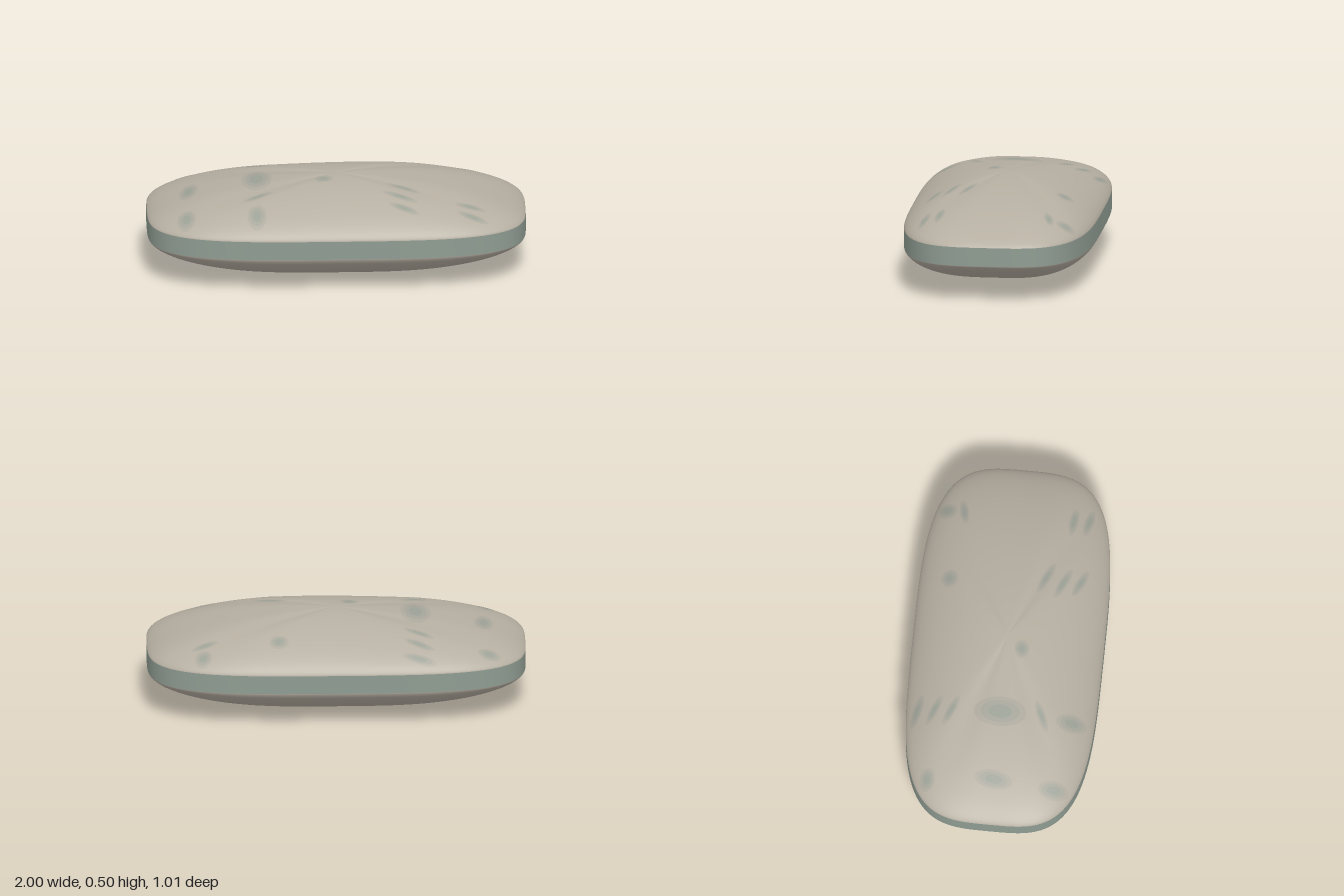
import * as THREE from 'three';
import { mergeVertices } from 'three/addons/utils/BufferGeometryUtils.js';

const N = 3.5, HALF_X = 1, HALF_Z = 0.506, RIM_LOW = 0.2, RIM_HIGH = 0.3, DOME = 0.205;
const smooth = (v, a, b) => THREE.MathUtils.smoothstep(v, a, b);

// Rounded-rectangle outline as a superellipse
function outline(t) {
  const f = (v) => Math.sign(v) * Math.pow(Math.abs(v), 2 / N);
  return [HALF_X * f(Math.cos(t)), HALF_Z * f(Math.sin(t))];
}

// Shell profile: 1 at the centre, 0 at the rim, flatter than an ellipse
const profile = (r) => Math.pow(Math.max(0, 1 - r * r), 0.7);

// Height of the upper shell: a dome with shallow radial creases and a slight sag on one end
const creases = [[0.45, 0.2], [0.45, -0.22], [-0.5, 0.2], [-0.5, -0.17]].map(([x, z]) => Math.atan2(z, x));
function topHeight(x, z) {
  const r = Math.min(1, Math.pow(Math.pow(Math.abs(x) / HALF_X, N) + Math.pow(Math.abs(z) / HALF_Z, N), 1 / N));
  const a = Math.atan2(z, x);
  let y = RIM_HIGH + DOME * profile(r);
  for (const c of creases) {
    const d = Math.atan2(Math.sin(a - c), Math.cos(a - c));
    y -= 0.007 * Math.exp(-Math.pow(d / 0.14, 2)) * 4 * r * (1 - r);
  }
  return y - 0.012 * smooth(-x, -0.1, 0.35) * (1 - r * r);
}

// Closed rings from top to bottom, joined into a smooth skin
function skin(rows, cols, point) {
  const pos = [], index = [];
  for (let i = 0; i <= rows; i++) {
    for (let j = 0; j < cols; j++) pos.push(...point(i / rows, (j / cols) * Math.PI * 2));
  }
  for (let i = 0; i < rows; i++) {
    for (let j = 0; j < cols; j++) {
      const k = (j + 1) % cols;
      const a = i * cols + j, b = a + cols, c = i * cols + k, d = c + cols;
      index.push(a, c, b, b, c, d);
    }
  }
  let g = new THREE.BufferGeometry();
  g.setAttribute('position', new THREE.Float32BufferAttribute(pos, 3));
  g.setIndex(index);
  g = mergeVertices(g, 1e-5);
  g.computeVertexNormals();
  return g;
}

export function createModel() {
  const model = new THREE.Group();
  const add = (name, geometry, color, parent = model) => {
    const mesh = new THREE.Mesh(geometry, new THREE.MeshStandardMaterial({ color }));
    mesh.name = name;
    parent.add(mesh);
  };

  // Upper shell
  add('upperShell', skin(40, 192, (u, t) => {
    const [x, z] = outline(t), r = Math.sin(u * Math.PI / 2);
    return [x * r, topHeight(x * r, z * r), z * r];
  }), 0xb5aea1);

  // Straight band around the middle
  add('sideBand', skin(1, 192, (u, t) => {
    const [x, z] = outline(t);
    return [x, THREE.MathUtils.lerp(RIM_HIGH, RIM_LOW, u), z];
  }), 0x8f9c92);

  // Lower shell
  add('lowerShell', skin(40, 192, (u, t) => {
    const [x, z] = outline(t), r = Math.cos(u * Math.PI / 2);
    return [x * r, RIM_LOW * (1 - profile(r)), z * r];
  }), 0xb5aea1);

  // Faint tinted patches lying on the upper shell: x, z, half width, half depth, skew
  const patches = [
    [-0.42, 0, 0.08, 0.14, 0], [-0.78, 0, 0.05, 0.1, -0.4],
    [-0.8, -0.35, 0.06, 0.04, 0], [-0.43, -0.44, 0.09, 0.025, 0.2],
    [-0.43, -0.35, 0.08, 0.025, 0.4], [-0.43, -0.26, 0.08, 0.025, 0.4],
    [0.31, -0.34, 0.05, 0.045, 0], [0.71, -0.39, 0.045, 0.05, 0], [0.7, -0.3, 0.07, 0.025, -0.2],
    [0.35, 0.17, 0.09, 0.025, 0.4], [0.33, 0.26, 0.09, 0.025, 0.4], [0.35, 0.35, 0.08, 0.025, 0.4],
    [0.7, 0.28, 0.08, 0.025, 0.1], [0.71, 0.36, 0.08, 0.025, 0.2],
    [-0.8, 0.32, 0.05, 0.08, 0], [-0.43, 0.38, 0.05, 0.08, 0], [-0.42, 0.22, 0.08, 0.025, -0.4],
    [-0.07, 0.08, 0.05, 0.04, 0],
  ];
  // Each patch fades outwards in steps: scale, height above the shell, colour
  const tones = [[1, 0.0008, 0xaea99d], [0.75, 0.0012, 0xa6a59a], [0.45, 0.0016, 0x9ca196]];
  const group = new THREE.Group();
  group.name = 'tintedPatches';
  model.add(group);
  for (const [cx, cz, w, d, skew] of patches) {
    for (const [scale, lift, color] of tones) {
      add('tintedPatch', skin(5, 24, (u, t) => {
        const s = u * scale, dx = w * s * Math.cos(t);
        const x = cx + dx, z = cz + d * s * Math.sin(t) + skew * dx;
        return [x, topHeight(x, z) + lift, z];
      }), color, group);
    }
  }
  return model;
}
